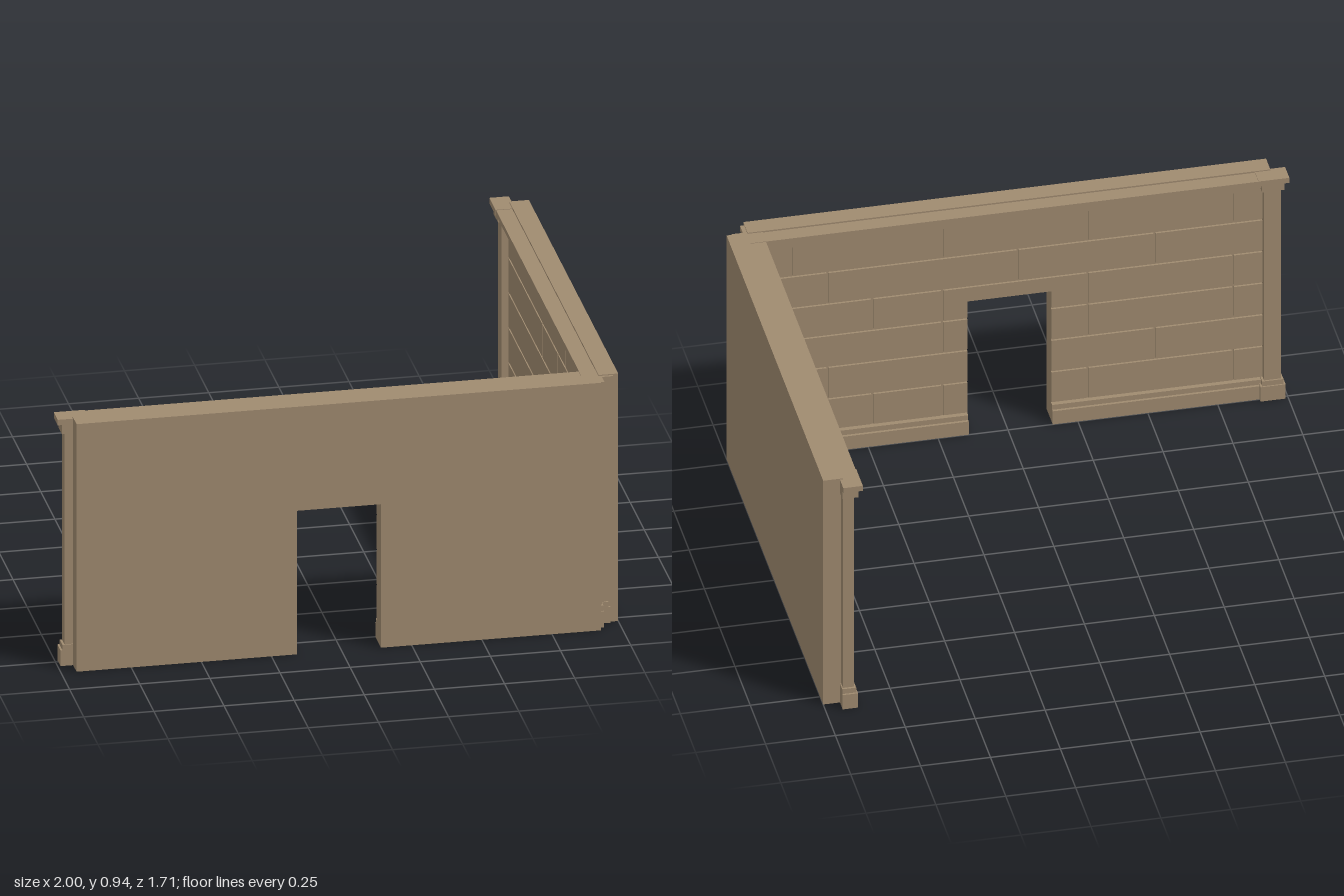
import * as THREE from 'three';

const stone = new THREE.MeshStandardMaterial({ color: 0xa08b70 });
stone.name = 'tan stone';

const HEIGHT = 0.94;
const THICK = 0.07;

// Box given by its lower and upper corners
function block(parent, name, x0, x1, y0, y1, z0, z1) {
  const mesh = new THREE.Mesh(new THREE.BoxGeometry(x1 - x0, y1 - y0, z1 - z0), stone);
  mesh.position.set((x0 + x1) / 2, (y0 + y1) / 2, (z0 + z1) / 2);
  mesh.name = name;
  parent.add(mesh);
}

// Pilaster levels: half width, bottom, top, projection
const PILASTER = [
  [0.045, 0, 0.06, 0.045],
  [0.038, 0.06, 0.08, 0.04],
  [0.03, 0.08, 0.88, 0.034],
  [0.04, 0.88, 0.915, 0.048],
  [0.055, 0.915, 0.936, 0.06],
];

// Horizontal mouldings: bottom, top, projection
const CORNICE = [
  [0.872, 0.895, 0.022],
  [0.895, 0.915, 0.04],
  [0.915, 0.934, 0.058],
];
const SKIRTING = [
  [0, 0.055, 0.03],
  [0.055, 0.075, 0.02],
];

function pilaster(x) {
  const group = new THREE.Group();
  group.name = 'pilaster';
  PILASTER.forEach(([half, y0, y1, depth], i) => {
    const name = i < 2 ? 'pilasterBase' : i === 2 ? 'pilasterShaft' : 'pilasterCapital';
    block(group, name, -half, half, y0, y1, -depth, i === 2 ? 0.006 : 0.01);
  });
  group.position.x = x;
  return group;
}

// One wall: inner face at z = 0 towards -z, plain outer face at z = THICK
function wall(name, length, joints, door) {
  const group = new THREE.Group();
  group.name = name;
  const h = length / 2;

  // Slab outline, with the doorway notched out of the lower edge
  const points = [[-h, 0]];
  if (door) {
    points.push([-door.half, 0], [-door.half, door.top], [door.half, door.top], [door.half, 0]);
  }
  points.push([h, 0], [h, HEIGHT], [-h, HEIGHT]);
  const outline = new THREE.Shape(points.map(([x, y]) => new THREE.Vector2(x, y)));
  const slab = new THREE.Mesh(
    new THREE.ExtrudeGeometry(outline, { depth: THICK, bevelEnabled: false }), stone);
  slab.name = 'wallSlab';
  group.add(slab);

  // Adds a strip on the inner face, leaving the doorway open
  const strip = (part, x0, x1, y0, y1, depth) => {
    if (!door || y0 >= door.top || x1 <= -door.half || x0 >= door.half) {
      block(group, part, x0, x1, y0, y1, -depth, 0);
      return;
    }
    if (x0 < -door.half) block(group, part, x0, -door.half, y0, y1, -depth, 0);
    if (x1 > door.half) block(group, part, door.half, x1, y0, y1, -depth, 0);
    if (y1 > door.top) {
      block(group, part, Math.max(x0, -door.half), Math.min(x1, door.half), door.top, y1, -depth, 0);
    }
  };

  // Coursed stone blocks with thin recessed joints
  const rows = 6, bottom = 0.075, course = (0.872 - bottom) / rows, gap = 0.004;
  for (let r = 0; r < rows; r++) {
    const edges = [-h, ...joints[r % joints.length], h];
    for (let i = 0; i < edges.length - 1; i++) {
      strip('stoneBlock', edges[i] + gap, edges[i + 1] - gap,
        bottom + r * course + gap, bottom + (r + 1) * course - gap, 0.008);
    }
  }

  SKIRTING.forEach(([y0, y1, d]) => strip('skirting', -h, h, y0, y1, d));
  CORNICE.forEach(([y0, y1, d]) => strip('cornice', -h, h, y0, y1, d));

  // Pilasters straddling both ends
  for (const side of [-1, 1]) group.add(pilaster(side * h));
  return group;
}

export function createModel() {
  const model = new THREE.Group();
  model.name = 'cornerWalls';

  const front = wall('doorWall', 1.87,
    [[-0.8, -0.28, 0.24, 0.49], [-0.52, -0.03, 0.65], [-0.8, -0.28, 0.24, 0.78]],
    { half: 0.15, top: 0.545 });
  front.position.set(-0.01, 0, 0.78);

  const side = wall('sideWall', 1.58, [[-0.38, -0.11, 0.17], [-0.51, -0.25, 0.03]]);
  side.rotation.y = Math.PI / 2;
  side.position.set(0.93, 0, -0.01);

  model.add(front, side);
  return model;
}
